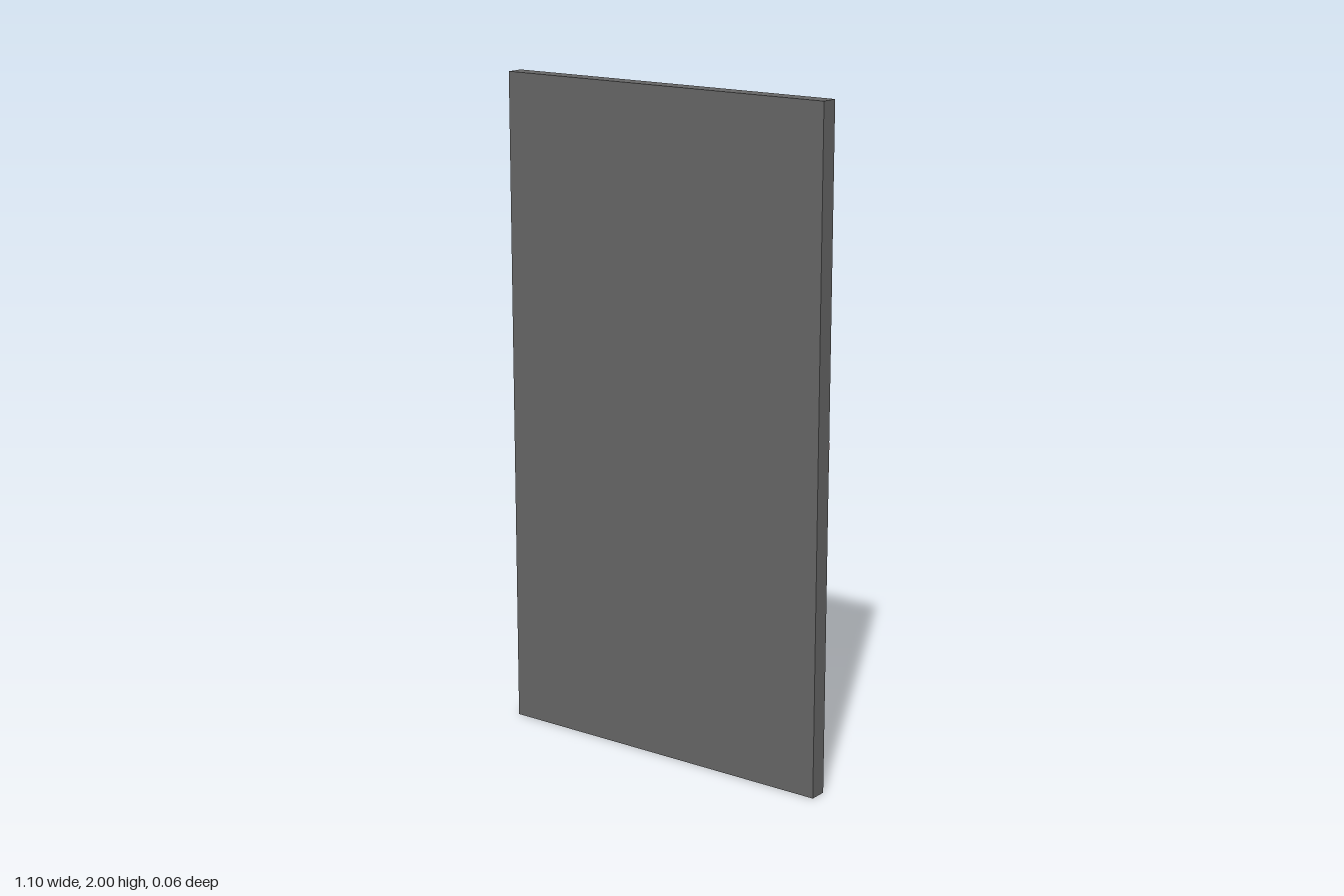
import * as THREE from 'three';

const BACK = -0.024; // rear face of the door slab

export function createModel() {
  const group = new THREE.Group();
  const material = (color) => new THREE.MeshStandardMaterial({ color });
  const red = material(0x500a0e);

  // Box given by its limits on each axis
  const box = (name, [x0, x1], [y0, y1], [z0, z1], mat) => {
    const mesh = new THREE.Mesh(new THREE.BoxGeometry(x1 - x0, y1 - y0, z1 - z0), mat);
    mesh.position.set((x0 + x1) / 2, (y0 + y1) / 2, (z0 + z1) / 2);
    mesh.name = name;
    group.add(mesh);
  };

  // Door slab
  box('doorPanel', [-0.55, 0.55], [0, 2], [BACK, 0.03], material(0x666666));

  // Painted band and dark lock plate, almost flush with the rear face
  const skin = [BACK - 0.0008, BACK];
  box('stripe', [-0.55, 0.55], [0.96, 1.046], skin, material(0x772510));
  box('lockPlate', [-0.45, -0.385], [0.772, 0.872], skin, material(0x1a1a1a));

  // Handle: upright back plate with a lever pointing to the door edge
  const raised = [-0.031, BACK];
  box('handlePlate', [-0.152, -0.1], [1.11, 1.473], raised, red);
  box('handleLever', [-0.372, -0.152], [1.19, 1.238], raised, red);

  return group;
}
